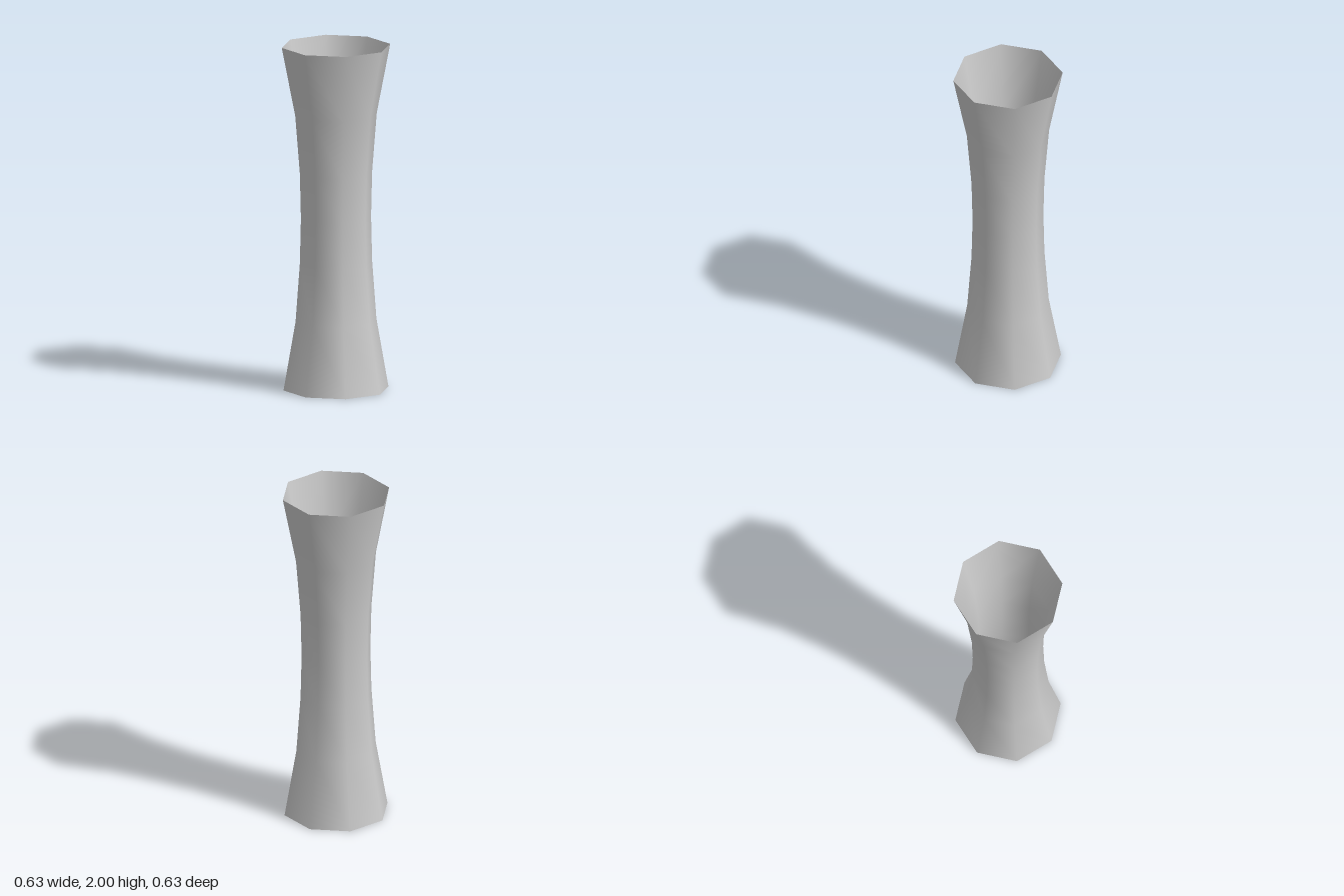
import * as THREE from 'three';

export function createModel() {
  const group = new THREE.Group();

  // Waisted profile as [radius, height], flaring slightly wider at the top
  const profile = [
    [0.305, 0], [0.235, 0.4], [0.21, 0.74], [0.204, 1],
    [0.21, 1.26], [0.237, 1.6], [0.315, 2],
  ].map(([r, y]) => new THREE.Vector2(r, y));

  // Eight-sided open tube, smooth shaded and visible from inside
  const material = new THREE.MeshStandardMaterial({ color: 0xcccccc, side: THREE.DoubleSide });
  const tube = new THREE.Mesh(new THREE.LatheGeometry(profile, 8), material);
  tube.name = 'flaredTube';
  group.add(tube);

  return group;
}
